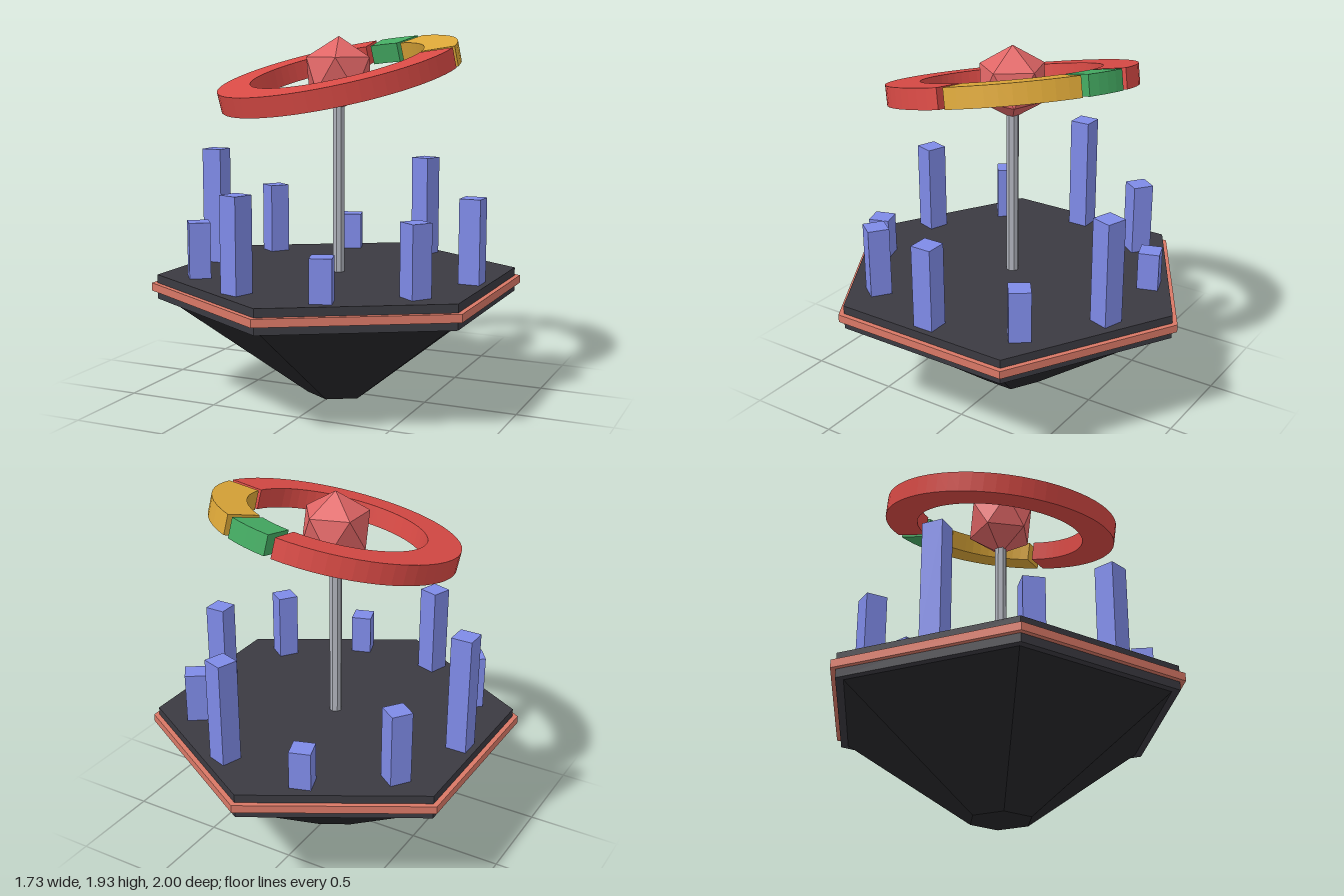
import * as THREE from 'three';

const mat = (name, color) => {
  const m = new THREE.MeshStandardMaterial({ color, flatShading: true });
  m.name = name;
  return m;
};

export function createModel() {
  const model = new THREE.Group();
  const colours = {
    cone: mat('nearBlack', 0x27272b),
    slab: mat('charcoal', 0x3b3a41),
    rim: mat('copper', 0xd97866),
    pillar: mat('periwinkle', 0x808cea),
    pole: mat('steel', 0xaeb1ba),
    gem: mat('coral', 0xe06666),
    red: mat('red', 0xd84a45),
    yellow: mat('gold', 0xdba638),
    green: mat('green', 0x44aa62),
  };
  const add = (name, geometry, material, y, parent = model) => {
    const mesh = new THREE.Mesh(geometry, material);
    mesh.name = name;
    mesh.position.y = y;
    parent.add(mesh);
    return mesh;
  };

  // Hexagonal base: tapered underside, slab and protruding rim
  add('underside', new THREE.CylinderGeometry(0.925, 0.17, 0.54, 6), colours.cone, 0.27);
  add('slab', new THREE.CylinderGeometry(0.97, 0.97, 0.13, 6), colours.slab, 0.605);
  add('rim', new THREE.CylinderGeometry(1, 1, 0.042, 6), colours.rim, 0.605);

  // Ten pillars in a circle, from +x round towards the front
  const floor = 0.67;
  const tops = [1.11, 1.04, 0.89, 1.16, 0.965, 1.305, 1.06, 0.875, 1.23, 0.94];
  const pillars = new THREE.Group();
  pillars.name = 'pillars';
  model.add(pillars);
  tops.forEach((top, i) => {
    const angle = (i / tops.length) * Math.PI * 2;
    const height = top - floor;
    const pillar = add('pillar', new THREE.BoxGeometry(0.112, height, 0.112), colours.pillar, floor + height / 2, pillars);
    pillar.position.x = 0.75 * Math.cos(angle);
    pillar.position.z = 0.75 * Math.sin(angle);
    pillar.rotation.y = -angle;
  });

  // Central pole with a faceted gem standing on one corner
  add('pole', new THREE.CylinderGeometry(0.033, 0.033, 0.92, 8), colours.pole, 1.13);
  const gem = add('gem', new THREE.IcosahedronGeometry(0.195, 0), colours.gem, 1.73);
  gem.rotation.z = -Math.atan(2 / (1 + Math.sqrt(5)));

  // Tilted ring of three arcs with small gaps
  const ring = new THREE.Group();
  ring.name = 'ring';
  ring.position.y = 1.725;
  ring.rotation.set(0.2, 0, 0.14);
  model.add(ring);
  const arc = (name, from, to, material) => {
    const a = THREE.MathUtils.degToRad(from);
    const b = THREE.MathUtils.degToRad(to);
    const shape = new THREE.Shape();
    shape.absarc(0, 0, 0.645, a, b, false);
    shape.absarc(0, 0, 0.467, b, a, true);
    const geometry = new THREE.ExtrudeGeometry(shape, {
      depth: 0.105,
      bevelEnabled: false,
      curveSegments: Math.ceil((to - from) / 12),
    });
    geometry.translate(0, 0, -0.0525);
    geometry.rotateX(-Math.PI / 2);
    add(name, geometry, material, 0, ring);
  };
  arc('goldArc', 5, 64.8, colours.yellow);
  arc('greenArc', 68.4, 90, colours.green);
  arc('redArc', 93.4, 361.8, colours.red);

  return model;
}
